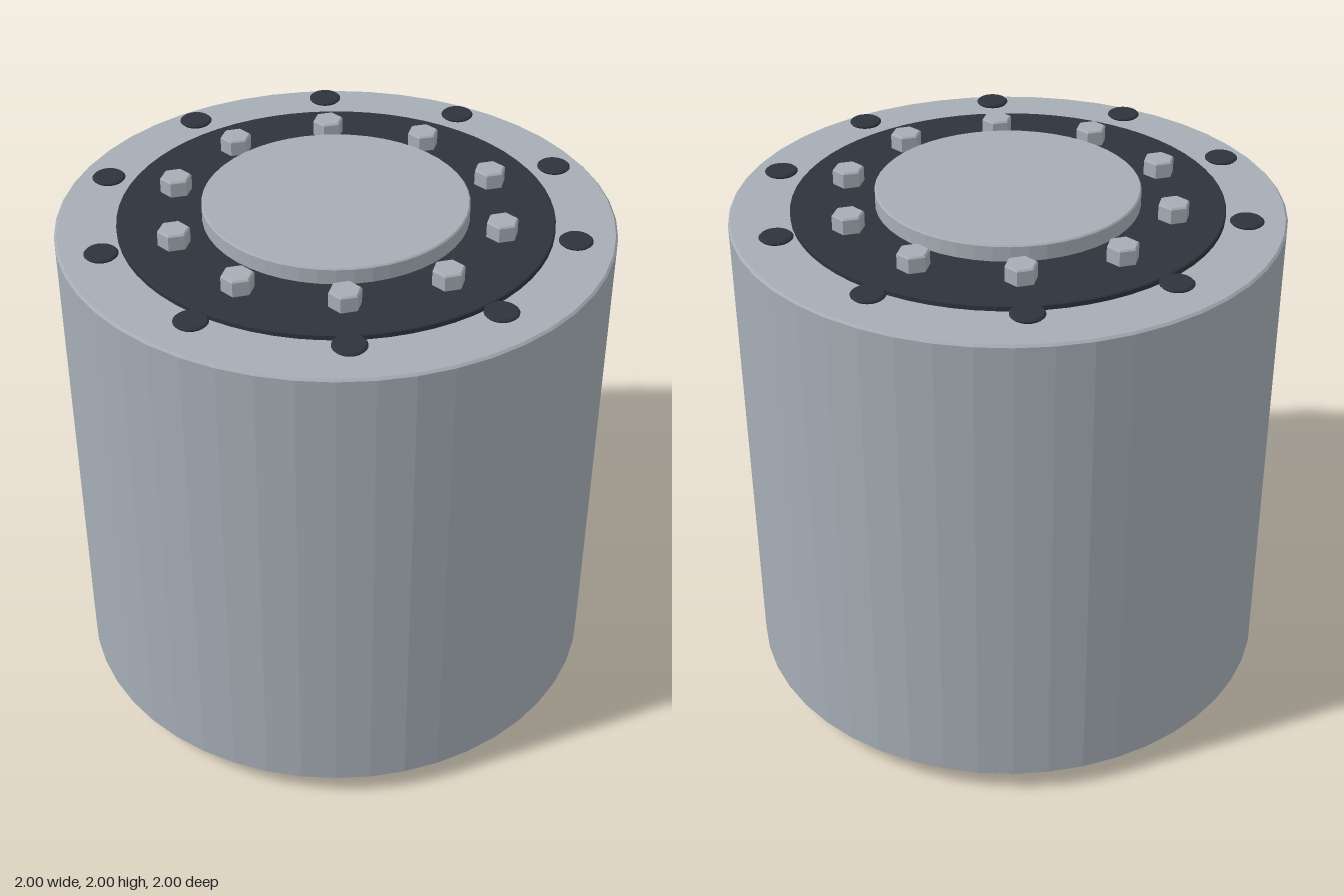
import * as THREE from 'three';

const steel = new THREE.MeshStandardMaterial({ name: 'steelGrey', color: 0xa5adb5, flatShading: true });
const dark = new THREE.MeshStandardMaterial({ name: 'darkGrey', color: 0x2e343c, flatShading: true });

// Solid disc between two heights with small chamfered edges
function disc(name, material, radius, y0, y1, sides, bevel) {
  const profile = [
    [0, y0], [radius - bevel, y0], [radius, y0 + bevel],
    [radius, y1 - bevel], [radius - bevel, y1], [0, y1],
  ].map(([x, y]) => new THREE.Vector2(x, y));
  const mesh = new THREE.Mesh(new THREE.LatheGeometry(profile, sides), material);
  mesh.name = name;
  return mesh;
}

// Ring of equal parts around the y axis
function ring(group, count, radius, make) {
  for (let i = 0; i < count; i++) {
    const a = (i / count) * Math.PI * 2;
    const part = make();
    part.position.set(Math.cos(a) * radius, 0, Math.sin(a) * radius);
    group.add(part);
  }
}

// End fittings, with heights measured from the middle of the drum
function createEnd(name) {
  const end = new THREE.Group();
  end.name = name;
  end.add(disc('flangePlate', dark, 0.78, 0.915, 0.94, 64, 0.004));
  end.add(disc('hub', steel, 0.477, 0.93, 1, 48, 0.005));
  ring(end, 10, 0.6, () => disc('hexBolt', steel, 0.058, 0.935, 1, 6, 0.006));
  ring(end, 10, 0.86, () => disc('rimHole', dark, 0.06, 0.949, 0.964, 24, 0.006));
  return end;
}

export function createModel() {
  const model = new THREE.Group();
  model.name = 'flangedDrum';

  const body = disc('drumBody', steel, 1, -0.92, 0.92, 48, 0.008);
  const top = createEnd('topEnd');
  const bottom = createEnd('bottomEnd');
  bottom.rotation.x = Math.PI;
  model.add(body, top, bottom);
  for (const part of model.children) part.position.y = 1;
  return model;
}
